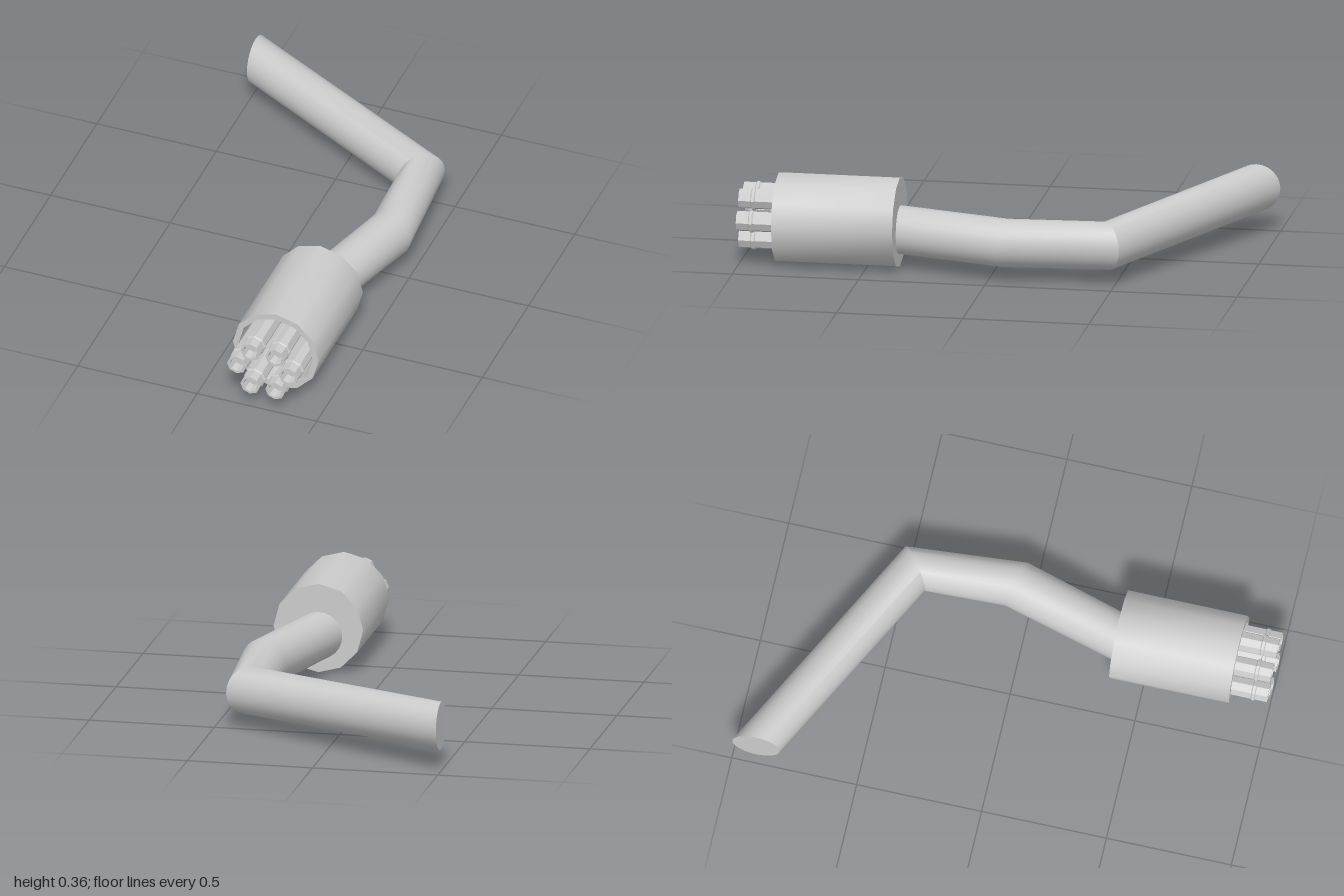
import * as THREE from 'three';
import { toCreasedNormals } from 'three/addons/utils/BufferGeometryUtils.js';

// Revolve [radius, z] pairs around the z axis
function turned(profile, sides) {
  const points = profile.map(([r, z]) => new THREE.Vector2(r, z));
  return new THREE.LatheGeometry(points, sides).rotateX(Math.PI / 2);
}

// Round cable skinned through rings; each ring has a centre and a sideways direction
function cableGeometry(rings, radius, sides) {
  const pos = [], index = [];
  for (const { c, across } of rings) {
    const u = new THREE.Vector3(across[0], 0, across[1]).normalize();
    for (let i = 0; i < sides; i++) {
      const a = (i / sides) * Math.PI * 2;
      const s = Math.cos(a) * radius;
      pos.push(c[0] + u.x * s, c[1] + Math.sin(a) * radius, c[2] + u.z * s);
    }
  }
  for (let k = 0; k < rings.length - 1; k++) {
    for (let i = 0; i < sides; i++) {
      const a = k * sides + i, b = k * sides + (i + 1) % sides;
      index.push(a, b + sides, b, a, a + sides, b + sides);
    }
  }
  // End caps
  const last = (rings.length - 1) * sides;
  for (let i = 1; i < sides - 1; i++) {
    index.push(0, i, i + 1, last, last + i + 1, last + i);
  }
  const g = new THREE.BufferGeometry();
  g.setAttribute('position', new THREE.Float32BufferAttribute(pos, 3));
  g.setIndex(index);
  return toCreasedNormals(g, 0.5);
}

export function createModel() {
  const model = new THREE.Group();
  model.name = 'cablePlug';
  const smooth = new THREE.MeshStandardMaterial({ color: 0xcccccc });
  const faceted = new THREE.MeshStandardMaterial({ color: 0xcccccc, flatShading: true });

  // Plug head: everything is placed around its axis
  const plug = new THREE.Group();
  plug.name = 'plug';
  plug.position.set(0.273, 0.179, 0);
  model.add(plug);

  // Twelve-sided housing, open at the front with a slightly tapered cavity
  const housing = new THREE.Mesh(toCreasedNormals(turned([
    [0, 0.375], [0.179, 0.375], [0.179, 0.855],
    [0.155, 0.855], [0.145, 0.62], [0, 0.62],
  ], 12), 0.6), smooth);
  housing.name = 'housing';
  plug.add(housing);

  // Six hollow-tipped pins, each with a thin collar
  const pinGeometry = turned([
    [0.04, 0.615], [0.04, 0.934], [0.045, 0.938], [0.045, 0.948], [0.04, 0.952],
    [0.04, 1], [0.03, 1], [0.025, 0.96], [0, 0.96],
  ], 8);
  const places = [[0.108, 0.005]];
  for (const y of [-0.079, 0.081]) places.push([0.052, y]);
  for (const side of [-1, 1]) {
    for (const [x, y] of places) {
      const pin = new THREE.Mesh(pinGeometry, faceted);
      pin.name = 'pin';
      pin.position.set(side * x, y, 0);
      plug.add(pin);
    }
  }

  // Bent cable leaving the back of the plug
  const cable = new THREE.Mesh(cableGeometry([
    { c: [0.266, 0.149, 0.4], across: [1, 0] },
    { c: [0.398, 0.149, -0.065], across: [0.175, 0.05] },
    { c: [0.373, 0.149, -0.465], across: [0.145, -0.11] },
    { c: [-0.492, 0.173, -0.905], across: [0, -1] },
  ], 0.095, 24), smooth);
  cable.name = 'cable';
  model.add(cable);

  return model;
}
